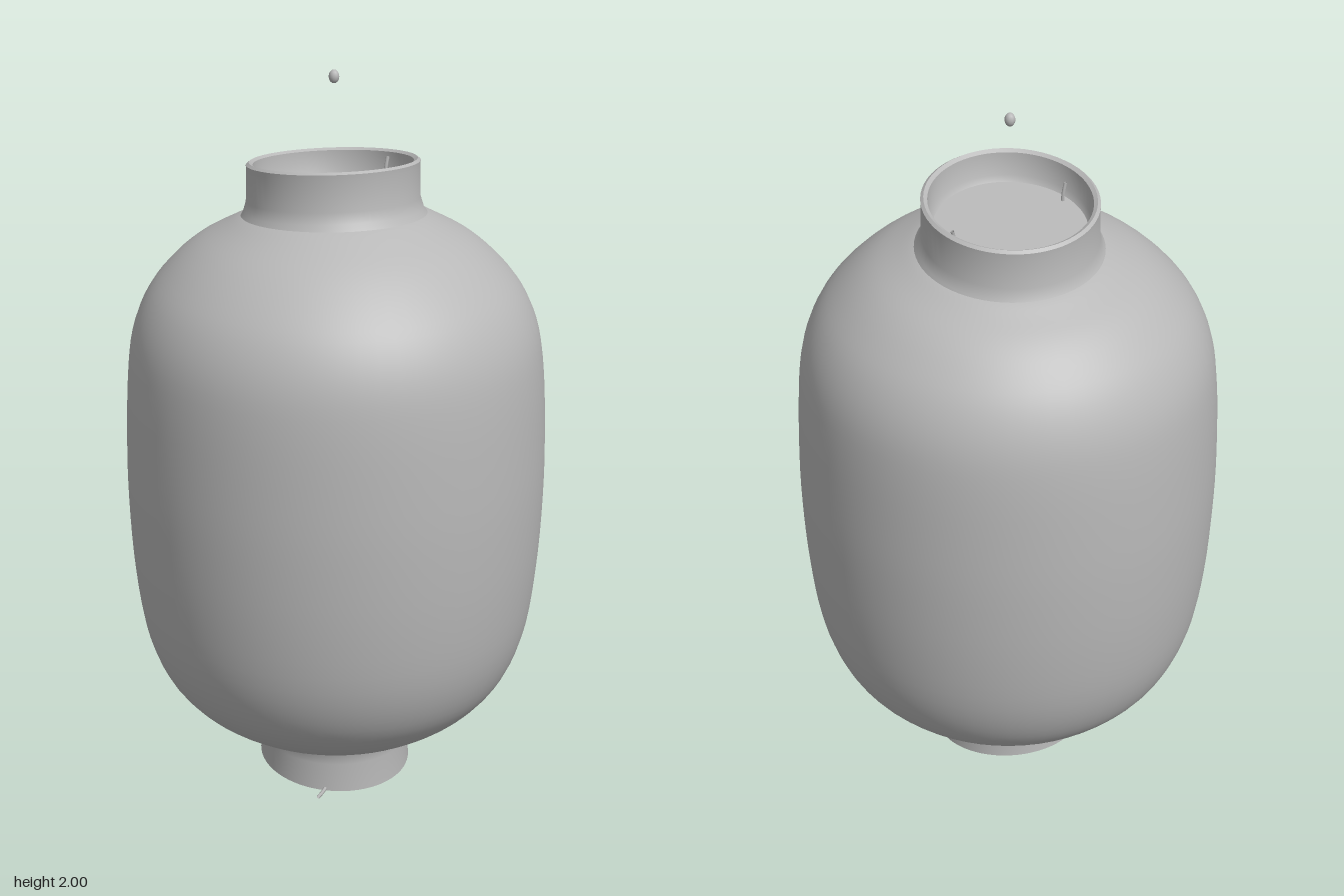
import * as THREE from 'three';
import { toCreasedNormals } from 'three/addons/utils/BufferGeometryUtils.js';

const paper = new THREE.MeshStandardMaterial({ color: 0xb8b8b8, side: THREE.DoubleSide });
paper.name = 'plain grey';

const clamp = THREE.MathUtils.clamp;
const vec2 = (list) => list.map(([r, y]) => new THREE.Vector2(r, y));

// Turned shape whose points are then moved by a rule
function turned(name, points, rule, crease) {
  const geometry = new THREE.LatheGeometry(points, 64);
  const pos = geometry.attributes.position;
  const v = new THREE.Vector3();
  for (let i = 0; i < pos.count; i++) {
    v.fromBufferAttribute(pos, i);
    rule(v);
    pos.setXYZ(i, v.x, v.y, v.z);
  }
  const mesh = new THREE.Mesh(toCreasedNormals(geometry, crease), paper);
  mesh.name = name;
  return mesh;
}

// Thin bent wire
function wire(name, points, radius) {
  const curve = new THREE.CatmullRomCurve3(points.map((p) => new THREE.Vector3(...p)));
  const mesh = new THREE.Mesh(new THREE.TubeGeometry(curve, 8, radius, 6), paper);
  mesh.name = name;
  return mesh;
}

export function createModel() {
  const model = new THREE.Group();
  model.name = 'paperLantern';

  // Barrel-shaped body, its shoulder leaning slightly with the collar
  const profile = new THREE.SplineCurve(vec2([
    [0.18, 0.135], [0.25, 0.155], [0.34, 0.2], [0.42, 0.26], [0.485, 0.345], [0.53, 0.47],
    [0.555, 0.65], [0.566, 0.85], [0.566, 1.02], [0.558, 1.2], [0.54, 1.32],
    [0.5, 1.415], [0.44, 1.49], [0.37, 1.55], [0.29, 1.595], [0.235, 1.62], [0.19, 1.625],
  ]));
  model.add(turned('body', profile.getPoints(60), (v) => {
    const t = v.y > 1.2 ? clamp((0.42 - Math.hypot(v.x, v.z)) / 0.18, 0, 1) : 0;
    v.y += t * (0.03 * v.x + 0.09 * v.z);
    v.x -= 0.01 * t;
    v.z -= 0.035 * t;
  }, 1));

  // Tilted top collar with a sunken floor
  const topCollar = turned('topCollar', vec2([
    [0.262, 1.595], [0.24, 1.625], [0.231, 1.655], [0.229, 1.74], [0.23, 1.754], [0.222, 1.76],
    [0.212, 1.754], [0.209, 1.69], [0.2, 1.675], [0, 1.675],
  ]), (v) => { v.y += 0.04 * v.x + 0.11 * v.z; }, 0.9);
  topCollar.position.set(-0.01, 0, -0.035);
  model.add(topCollar);

  // Bottom collar, cut on a slant and hollow underneath
  const bottomCollar = turned('bottomCollar', vec2([
    [0, 0.105], [0.185, 0.105], [0.191, 0.09], [0.193, 0.03], [0.202, 0.026],
    [0.21, 0.031], [0.206, 0.1], [0.208, 0.135], [0.225, 0.155],
  ]), (v) => {
    const t = clamp((0.155 - v.y) / 0.125, 0, 1);
    v.y -= t * (0.06 * v.x + 0.1 * v.z);
  }, 0.9);
  bottomCollar.position.set(-0.005, 0, -0.015);
  model.add(bottomCollar);

  // Small hooks inside the top collar
  for (const [x, z] of [[0.12, -0.168], [-0.135, 0.1]]) {
    model.add(wire('hook', [[x, 1.66, z], [x, 1.7, z], [x * 1.04, 1.735, z * 1.04]], 0.005));
  }

  // Loose thread and knot on the bottom collar
  model.add(wire('thread', [[-0.01, 0.02, 0.18], [-0.02, 0.013, 0.21], [-0.03, 0.011, 0.235]], 0.005));
  model.add(wire('knot', [[0.19, 0.08, -0.05], [0.207, 0.09, -0.058], [0.2, 0.1, -0.075]], 0.008));

  // Bead floating above the collar
  const bead = new THREE.Mesh(new THREE.SphereGeometry(0.014, 12, 8), paper);
  bead.name = 'bead';
  bead.scale.y = 1.3;
  bead.position.set(-0.008, 1.982, -0.035);
  model.add(bead);

  return model;
}
